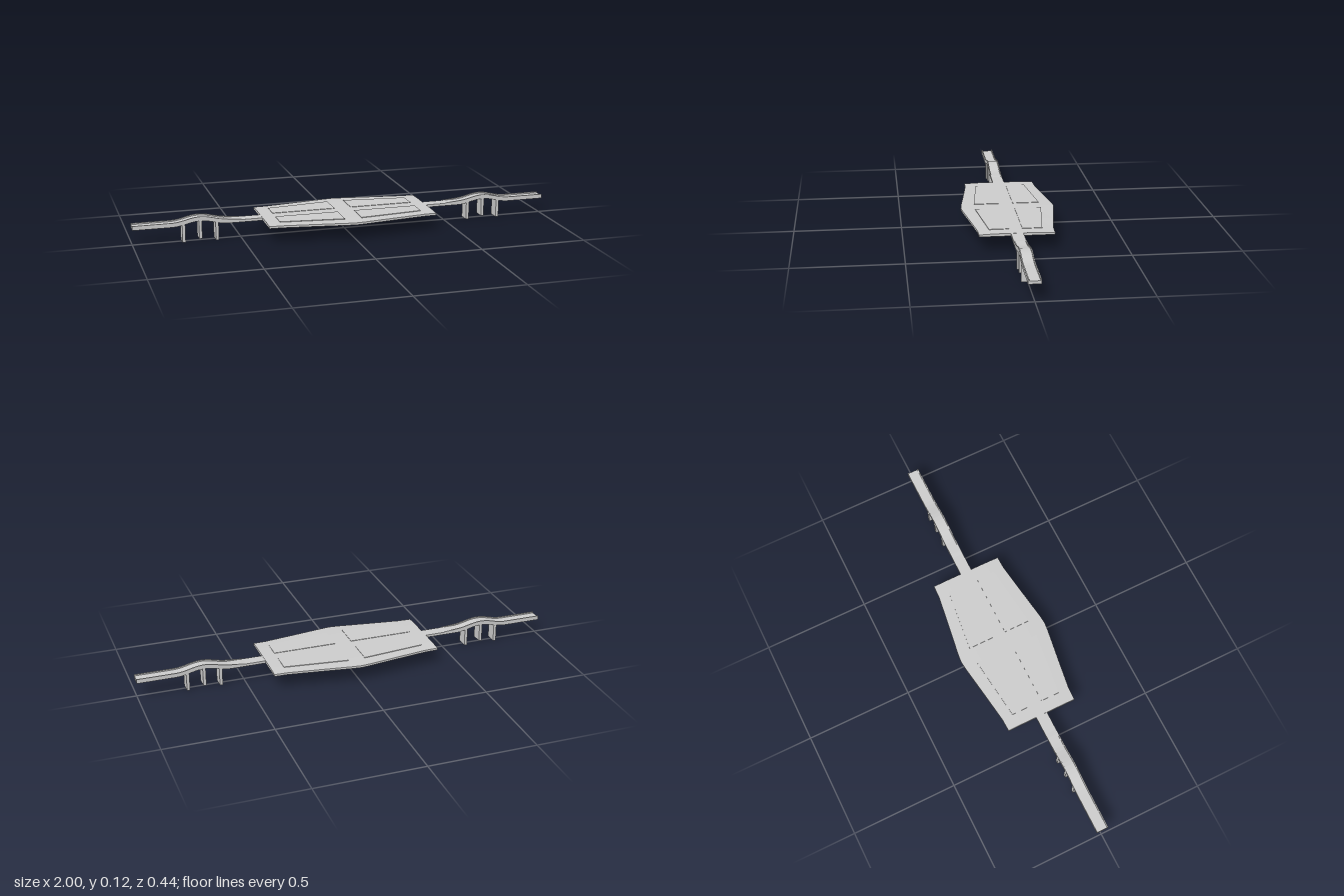
import * as THREE from 'three';

const material = new THREE.MeshStandardMaterial({ color: 0xcccccc, flatShading: true, side: THREE.DoubleSide });

function add(parent, name, geometry) {
  const mesh = new THREE.Mesh(geometry, material);
  mesh.name = name;
  parent.add(mesh);
  return mesh;
}

const toShape = (pts) => new THREE.Shape(pts.map(([x, y]) => new THREE.Vector2(x, y)));

// Plan outline in x and z, raised to a slab between two heights
function slab(shape, y0, y1) {
  return new THREE.ExtrudeGeometry(shape, { depth: y1 - y0, bevelEnabled: false })
    .rotateX(Math.PI / 2).translate(0, y1, 0);
}

// Half the plan of the wide deck: [x, half width]
const HALF = [[0, 0.22], [0.04, 0.216], [0.2, 0.192], [0.34, 0.172], [0.4, 0.17]];
const WIDTHS = [...HALF.slice(1).reverse().map(([x, w]) => [-x, w]), ...HALF];

// Upper deck layer with a slight crown, lofted along x
function crownedDeck() {
  const pos = [], index = [];
  const n = 6;
  for (const [x, w] of WIDTHS) {
    const section = [[-w, 0.081], [-w, 0.086], [-w * 0.6, 0.0885], [w * 0.6, 0.0885], [w, 0.086], [w, 0.081]];
    for (const [z, y] of section) pos.push(x, y, z);
  }
  for (let i = 0; i < WIDTHS.length - 1; i++) {
    for (let j = 0; j < n; j++) {
      const a = i * n + j, b = i * n + (j + 1) % n;
      index.push(a, b, a + n, b, b + n, a + n);
    }
  }
  const last = (WIDTHS.length - 1) * n;
  for (let j = 1; j < n - 1; j++) {
    index.push(0, j + 1, j, last, last + j, last + j + 1);
  }
  const geo = new THREE.BufferGeometry();
  geo.setAttribute('position', new THREE.Float32BufferAttribute(pos, 3));
  geo.setIndex(index);
  geo.computeVertexNormals();
  return geo;
}

// Rise of the walkway along x: one smooth hump
function rise(x) {
  const t = (x - 0.69) / 0.13;
  return Math.abs(t) < 1 ? 0.0105 * (1 + Math.cos(Math.PI * t)) : 0;
}

// Strip that follows the hump, given bottom and top heights, between two z values
function strip(x0, x1, bottom, top, z0, z1) {
  const steps = 30, lower = [], upper = [];
  for (let i = 0; i <= steps; i++) {
    const x = x0 + (x1 - x0) * i / steps;
    lower.push([x, bottom + rise(x)]);
    upper.unshift([x, top(x) + rise(x)]);
  }
  return new THREE.ExtrudeGeometry(toShape([...lower, ...upper]), { depth: z1 - z0, bevelEnabled: false })
    .translate(0, 0, z0);
}

function createWalkway() {
  const walkway = new THREE.Group();
  const w = 0.028;
  add(walkway, 'walkwayFloor', strip(0.39, 1, 0.076, (x) => (x < 0.5 ? 0.088 : 0.09), -w, w));

  // Low kerb rails that fade in from the inner end
  const railTop = (x) => 0.09 + 0.006 * Math.min(1, (x - 0.5) / 0.07);
  add(walkway, 'frontRail', strip(0.5, 1, 0.077, railTop, w - 0.005, w));
  add(walkway, 'backRail', strip(0.5, 1, 0.077, railTop, -w, -w + 0.005));

  // Support piers under the hump
  for (const [x, foot] of [[0.613, 0], [0.69, 0.012], [0.767, 0]]) {
    const head = 0.08 + rise(x);
    add(walkway, 'pier', new THREE.BoxGeometry(0.014, head - foot, 2 * w))
      .position.set(x, (head + foot) / 2, 0);
  }
  return walkway;
}

export function createModel() {
  const model = new THREE.Group();
  model.name = 'footbridge';

  // Wide central deck
  const deck = new THREE.Group();
  deck.name = 'deck';
  model.add(deck);
  add(deck, 'deckTop', crownedDeck());

  // Under layer with four recesses, and matching raised panels on top
  const outline = toShape([...WIDTHS, ...WIDTHS.map(([x, w]) => [x, -w]).reverse()]);
  for (const sx of [-1, 1]) {
    for (const sz of [-1, 1]) {
      const corners = [[0.04, 0.03], [0.34, 0.03], [0.34, 0.12], [0.04, 0.155]].map(([x, z]) => [x * sx, z * sz]);
      outline.holes.push(toShape(corners));
      add(deck, 'raisedPanel', slab(toShape(corners), 0.084, 0.0905));
    }
  }
  add(deck, 'deckUnderside', slab(outline, 0.076, 0.081));

  // Walkways at both ends
  const left = createWalkway();
  left.name = 'leftWalkway';
  const right = createWalkway();
  right.name = 'rightWalkway';
  right.rotation.y = Math.PI;
  model.add(left, right);
  return model;
}
